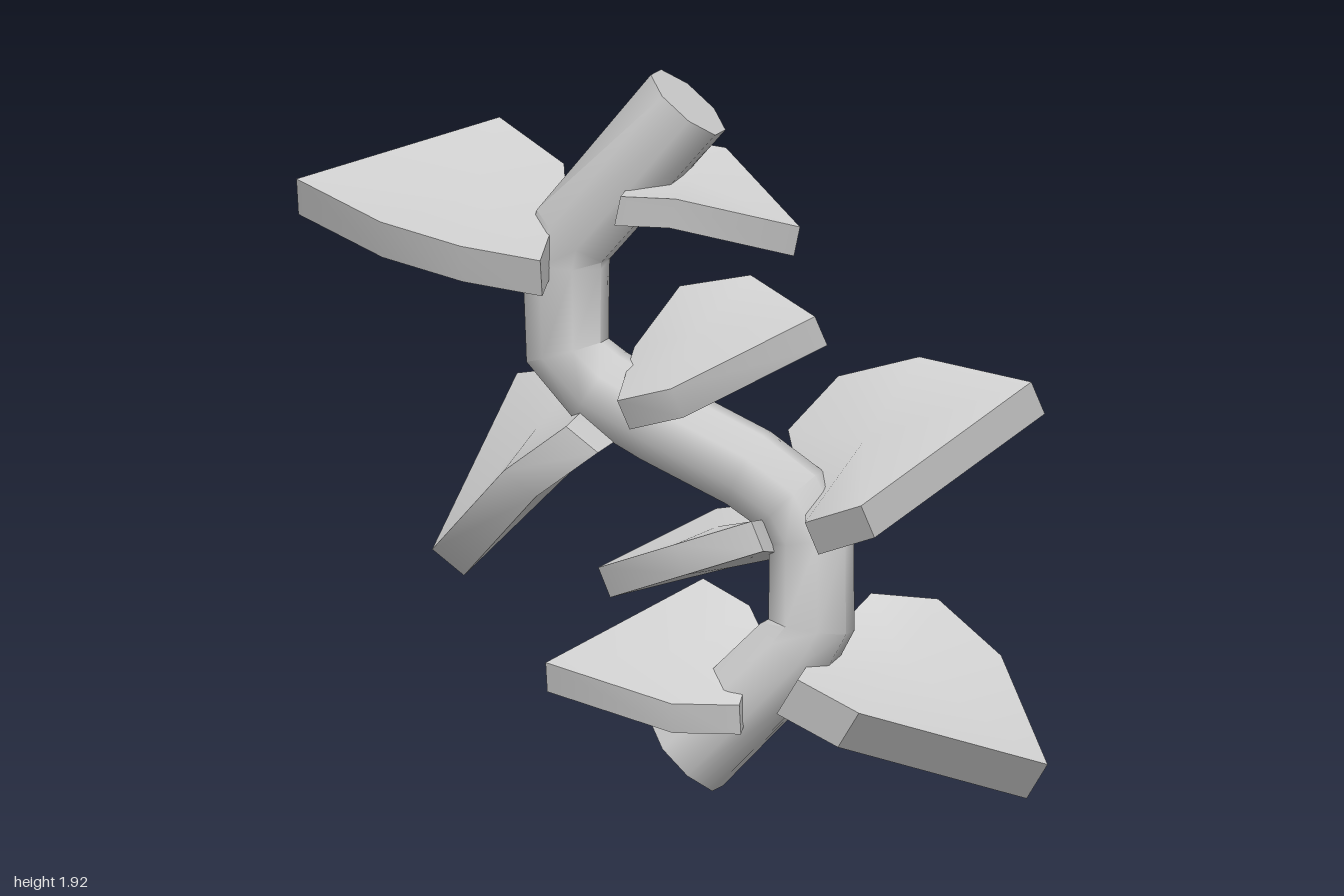
import * as THREE from 'three';
import { toCreasedNormals } from 'three/addons/utils/BufferGeometryUtils.js';

const material = new THREE.MeshStandardMaterial({ color: 0xcccccc });
const V = (p) => new THREE.Vector3(...p);

// Octagonal cylinder whose rings are moved onto a bent path, slightly flared at both ends
function makeStem() {
  const path = [
    [0.055, 0.105], [0.35, 0.40], [0.395, 0.47], [0.395, 0.70], [0.34, 0.80], [0.22, 0.88],
    [-0.02, 0.99], [-0.19, 1.08], [-0.28, 1.17], [-0.285, 1.40], [-0.265, 1.48], [0.05, 1.845],
  ].map(([x, y]) => new THREE.Vector2(x, y));
  const n = path.length - 1;
  const radius = 1 / Math.cos(Math.PI / 8);
  const geo = new THREE.CylinderGeometry(radius, radius, 1, 8, n, false, Math.PI / 8);
  const pos = geo.attributes.position;
  for (let i = 0; i < pos.count; i++) {
    const t = pos.getY(i) + 0.5;
    const k = Math.round(t * n);
    const dir = path[Math.min(k + 1, n)].clone().sub(path[Math.max(k - 1, 0)]).normalize();
    const flare = Math.abs(2 * t - 1) ** 4;
    const r = pos.getX(i) * (0.106 + 0.011 * flare);
    const z = pos.getZ(i) * (0.09 + 0.025 * flare) - 0.022 * t;
    pos.setXYZ(i, path[k].x + dir.y * r, path[k].y - dir.x * r, z);
  }
  return toCreasedNormals(geo, 0.9);
}

// Thick leaf: a closed outline of the upper face, pushed along a thickness vector
function makeLeaf(outline, thickness) {
  const top = outline.map(V);
  const depth = V(thickness);
  const centre = top.reduce((s, p) => s.add(p), new THREE.Vector3()).divideScalar(top.length);
  // The underside bulges in the middle and along the back rim
  const low = top.map((p, i) => p.clone().addScaledVector(depth, i > 0 && p.z < centre.z ? 1.25 : 1));
  const lowCentre = centre.clone().addScaledVector(depth, 1.35);
  const normal = new THREE.Vector3();
  top.forEach((p, i) => {
    const q = top[(i + 1) % top.length];
    normal.add(p.clone().sub(centre).cross(q.clone().sub(centre)));
  });
  if (normal.dot(depth) > 0) {
    top.reverse();
    low.reverse();
  }
  const corners = [];
  top.forEach((a, i) => {
    const j = (i + 1) % top.length;
    corners.push(centre, a, top[j], lowCentre, low[j], low[i]);
    corners.push(a, low[i], low[j], a, low[j], top[j]);
  });
  return toCreasedNormals(new THREE.BufferGeometry().setFromPoints(corners), 1);
}

// Outlines run tip, front edge, base, back edge
const leaves = {
  upperRightLeaf: {
    outline: [[-0.995, 1.61, 0.09], [-0.7, 1.54, 0.3], [-0.47, 1.49, 0.33], [-0.29, 1.44, 0.2],
      [-0.32, 1.58, -0.13], [-0.34, 1.64, -0.18], [-0.53, 1.75, -0.22]],
    thickness: [-0.005, -0.1, -0.035],
  },
  upperLeftLeaf: {
    outline: [[0.365, 1.53, 0], [0.08, 1.62, 0.19], [-0.09, 1.61, 0.13],
      [-0.09, 1.66, -0.1], [0.0, 1.72, -0.16], [0.1, 1.70, -0.2]],
    thickness: [-0.02, -0.08, -0.01],
  },
  middleLeftLeaf: {
    outline: [[0.4, 1.29, -0.02], [0.08, 1.12, 0.23], [-0.09, 1.07, 0.16],
      [-0.11, 1.18, -0.06], [0, 1.34, -0.11], [0.18, 1.37, -0.16]],
    thickness: [0.025, -0.08, -0.03],
  },
  middleRightLeaf: {
    outline: [[-0.685, 0.605, -0.12], [-0.4, 0.87, 0.17], [-0.24, 0.99, 0.13],
      [-0.2, 1.06, -0.1], [-0.28, 1.1, -0.22], [-0.5, 1.06, -0.28]],
    thickness: [0.08, -0.07, -0.025],
  },
  largeLeftLeaf: {
    outline: [[0.935, 1.11, -0.22], [0.6, 0.83, 0.22], [0.43, 0.77, 0.17], [0.39, 0.78, 0.03],
      [0.28, 0.96, -0.17], [0.4, 1.1, -0.23], [0.62, 1.16, -0.24]],
    thickness: [0.025, -0.09, -0.04],
  },
  smallRightLeaf: {
    outline: [[-0.185, 0.6, 0.02], [0.08, 0.7, 0.2], [0.27, 0.76, 0.13],
      [0.29, 0.74, -0.1], [0.25, 0.77, -0.15], [0.08, 0.74, -0.18]],
    thickness: [0.03, -0.08, -0.01],
  },
  lowerRightLeaf: {
    outline: [[-0.33, 0.34, 0.02], [0.08, 0.28, 0.23], [0.24, 0.27, 0.14],
      [0.23, 0.43, -0.1], [0.18, 0.49, -0.15], [0.04, 0.55, -0.19]],
    thickness: [0, -0.08, -0.015],
  },
  lowerLeftLeaf: {
    outline: [[0.995, 0.1, -0.17], [0.6, 0.28, 0.24], [0.41, 0.35, 0.17], [0.4, 0.4, -0.05],
      [0.5, 0.53, -0.2], [0.66, 0.51, -0.28], [0.84, 0.37, -0.26]],
    thickness: [-0.07, -0.1, -0.04],
  },
};

export function createModel() {
  const model = new THREE.Group();
  model.name = 'vine';
  const add = (name, geo) => {
    const mesh = new THREE.Mesh(geo, material);
    mesh.name = name;
    model.add(mesh);
  };
  add('stem', makeStem());
  for (const [name, leaf] of Object.entries(leaves)) {
    add(name, makeLeaf(leaf.outline, leaf.thickness));
  }
  return model;
}
